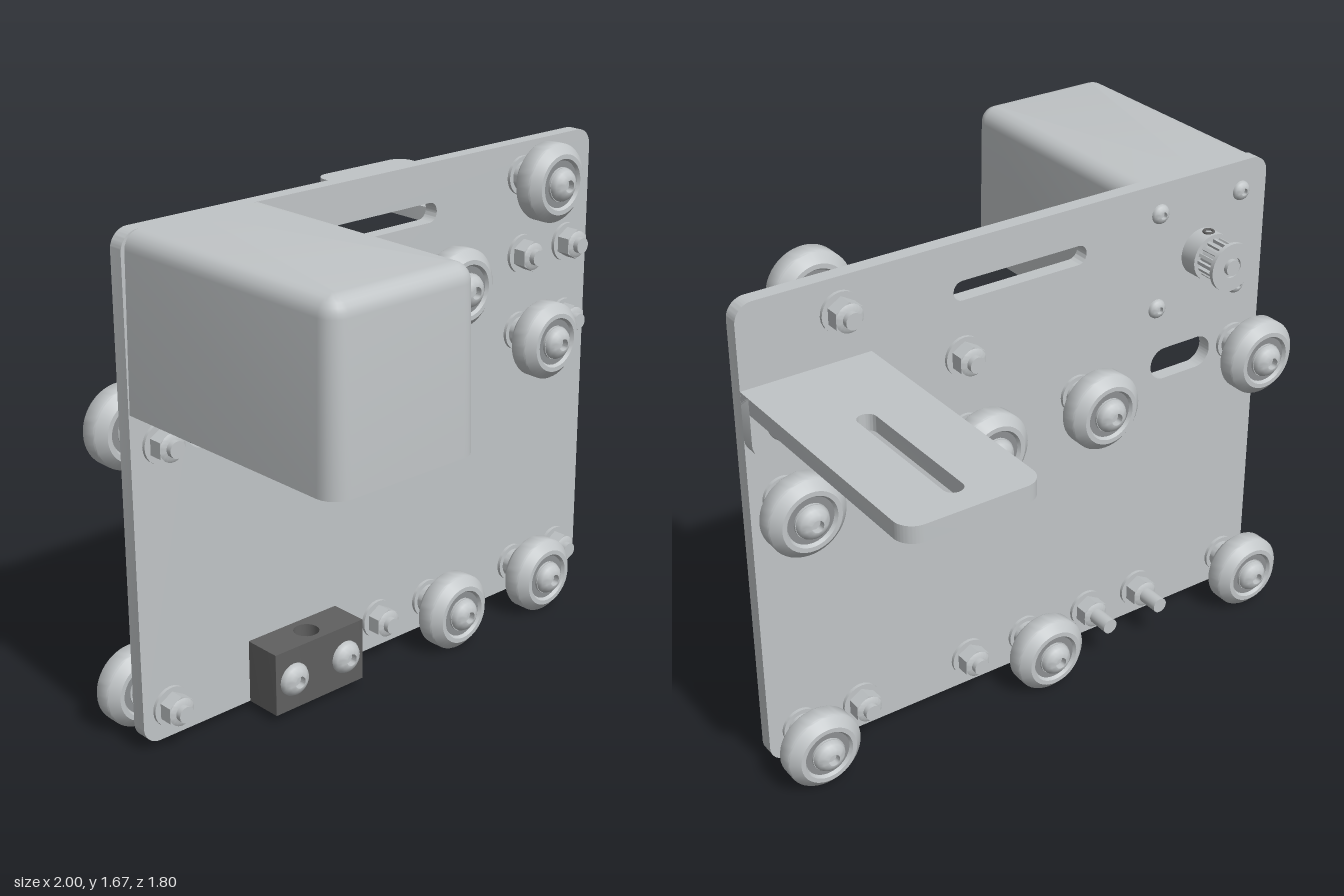
import * as THREE from 'three';
import { toCreasedNormals } from 'three/addons/utils/BufferGeometryUtils.js';

const material = (name, color) => {
  const m = new THREE.MeshStandardMaterial({ color });
  m.name = name;
  return m;
};

export function createModel() {
  const metal = material('light grey metal', 0xc0c4c6);
  const bearingGrey = material('bearing grey', 0x8c8f91);
  const dark = material('dark grey', 0x606060);
  const model = new THREE.Group();
  model.name = 'carriage';

  const add = (parent, name, geometry, mat, x = 0, y = 0, z = 0) => {
    const mesh = new THREE.Mesh(geometry, mat);
    mesh.name = name;
    mesh.position.set(x, y, z);
    parent.add(mesh);
    return mesh;
  };

  // Turned part along z from [radius, z] pairs, listed back to front
  const turned = (points, sides = 36) => toCreasedNormals(
    new THREE.LatheGeometry(points.map(p => new THREE.Vector2(...p)), sides).rotateX(Math.PI / 2), 0.6);

  const rod = (r, z0, z1, sides = 24) =>
    new THREE.CylinderGeometry(r, r, z1 - z0, sides).rotateX(Math.PI / 2).translate(0, 0, (z0 + z1) / 2);

  // Rounded rectangle; one radius for the lower corners, one for the upper
  const roundRect = (x0, y0, x1, y1, rLow, rHigh = rLow, path = new THREE.Shape()) => {
    const H = Math.PI / 2;
    path.moveTo(x0 + rLow, y0);
    path.absarc(x1 - rLow, y0 + rLow, rLow, -H, 0, false);
    path.absarc(x1 - rHigh, y1 - rHigh, rHigh, 0, H, false);
    path.absarc(x0 + rHigh, y1 - rHigh, rHigh, H, 2 * H, false);
    path.absarc(x0 + rLow, y0 + rLow, rLow, 2 * H, 3 * H, false);
    return path;
  };
  const slot = (x0, y0, x1, y1) => {
    const r = Math.min(x1 - x0, y1 - y0) / 2 - 0.0005;
    return roundRect(x0, y0, x1, y1, r, r, new THREE.Path());
  };
  const slab = (shape, depth) => toCreasedNormals(
    new THREE.ExtrudeGeometry(shape, { depth, bevelEnabled: false, curveSegments: 10 }), 0.6);

  // Main plate with two slots
  const plateShape = roundRect(-0.975, 0.027, 0.975, 1.65, 0.06);
  plateShape.holes.push(slot(-0.245, 1.455, 0.25, 1.52), slot(-0.77, 0.943, -0.52, 1.056));
  add(model, 'mainPlate', slab(plateShape, 0.05), metal, 0, 0, -0.025);

  // Shared hardware, all facing +z
  const tireGeo = turned([[0.078, -0.045], [0.085, -0.056], [0.1, -0.056], [0.128, -0.03], [0.131, -0.025],
    [0.131, 0.025], [0.128, 0.03], [0.1, 0.056], [0.085, 0.056], [0.078, 0.045]], 48);
  const bearingGeo = turned([[0, -0.045], [0.08, -0.045], [0.08, 0.045], [0, 0.045]]);
  const spacerGeo = turned([[0, 0.025], [0.065, 0.025], [0.065, 0.036], [0.05, 0.036], [0.05, 0.115], [0, 0.115]]);
  const headGeo = turned([[0, 0], [0.055, 0], [0.055, 0.006], [0.048, 0.018], [0.036, 0.028], [0.022, 0.034],
    [0.02, 0.034], [0.02, 0.012], [0, 0.012]], 24);
  const washerGeo = rod(0.066, 0, 0.011);
  const nutGeo = toCreasedNormals(rod(0.052, 0.011, 0.058, 6), 0.3);
  const collarGeo = turned([[0.046, 0.058], [0.036, 0.064], [0, 0.064]]);

  // Flanged nut with the bolt end showing; dir is +1 in front, -1 at the back
  const addNut = (x, y, dir, boltLength = 0.083) => {
    const g = new THREE.Group();
    g.name = 'lockNut';
    g.position.set(x, y, 0.025 * dir);
    if (dir < 0) g.rotation.y = Math.PI;
    add(g, 'washer', washerGeo, metal);
    add(g, 'nut', nutGeo, metal);
    add(g, 'nutCollar', collarGeo, metal);
    add(g, 'boltEnd', rod(0.027, 0, boltLength, 20), metal);
    model.add(g);
  };
  const addHead = (x, y, z, dir, scale = 1) => {
    const mesh = add(model, 'screwHead', headGeo, metal, x, y, z);
    mesh.scale.setScalar(scale);
    if (dir < 0) mesh.rotation.y = Math.PI;
  };
  const addWheel = (x, y, dir) => {
    const g = new THREE.Group();
    g.name = 'rollerWheel';
    g.position.set(x, y, 0);
    if (dir < 0) g.rotation.y = Math.PI;
    add(g, 'tire', tireGeo, metal, 0, 0, 0.153);
    add(g, 'bearing', bearingGeo, bearingGrey, 0, 0, 0.153);
    add(g, 'spacer', spacerGeo, metal);
    add(g, 'wheelHub', rod(0.057, 0.105, 0.206), metal);
    add(g, 'wheelScrew', headGeo, metal, 0, 0, 0.206);
    model.add(g);
    addNut(x, y, -dir);
  };

  // Wheels on the front, then on the back
  [[0.64, 1.54], [0.22, 1.27], [0.64, 1], [0.22, 0.132], [0.64, 0.132]].forEach(([x, y]) => addWheel(x, y, 1));
  [[-0.867, 1], [-0.217, 1], [0.217, 1], [0.867, 1], [-0.872, 0.132], [-0.01, 0.132], [0.862, 0.132]]
    .forEach(([x, y]) => addWheel(x, y, -1));

  // Angle bracket at the back: slotted shelf and bolted flange
  const shelfShape = roundRect(0.54, 0.025, 0.975, 0.905, 0.001, 0.06);
  shelfShape.holes.push(slot(0.73, 0.335, 0.79, 0.825));
  add(model, 'bracketShelf', slab(shelfShape, 0.053).rotateX(-Math.PI / 2), metal, 0, 1.328, 0);
  add(model, 'bracketFlange', slab(roundRect(0.54, 1.168, 0.975, 1.38, 0.06, 0.001), 0.05), metal, 0, 0, -0.075);
  for (const x of [0.65, 0.867]) {
    addHead(x, 1.27, -0.075, -1);
    addNut(x, 1.27, 1);
  }

  // Dark clamp block with a vertical bore and two long bolts
  const blockShape = roundRect(-0.56, -0.157, -0.195, -0.025, 0.001);
  blockShape.holes.push(new THREE.Path().absarc(-0.377, -0.091, 0.042, 0, Math.PI * 2, true));
  add(model, 'clampBlock', slab(blockShape, 0.213).rotateX(-Math.PI / 2), dark, 0, 0.027, 0);
  for (const x of [-0.487, -0.27]) {
    addHead(x, 0.132, 0.156, 1);
    addNut(x, 0.132, -1, 0.143);
  }

  // Motor with rear plug, shaft, toothed pulley and mounting screws
  const mx = -0.702, my = 1.38;
  add(model, 'motorBody', slab(roundRect(-0.228, -0.228, 0.228, 0.228, 0.04), 0.5), metal, mx, my, 0.025);
  add(model, 'motorPlug', new THREE.BoxGeometry(0.175, 0.07, 0.06), metal, mx, 1.133, 0.493);
  const pulley = new THREE.Group();
  pulley.name = 'drivePulley';
  pulley.position.set(mx, my, 0);
  pulley.rotation.y = Math.PI;
  add(pulley, 'motorShaft', rod(0.027, 0.02, 0.2), metal);
  add(pulley, 'pulleyHub', turned([[0, 0.036], [0.08, 0.036], [0.08, 0.1], [0.055, 0.1], [0.055, 0.18],
    [0.082, 0.18], [0.082, 0.194], [0.035, 0.194], [0.035, 0.185], [0, 0.185]]), metal);
  for (let i = 0; i < 16; i++) {
    const a = i / 16 * Math.PI * 2;
    const tooth = add(pulley, 'pulleyTooth', new THREE.BoxGeometry(0.016, 0.011, 0.08), metal,
      Math.cos(a) * 0.058, Math.sin(a) * 0.058, 0.14);
    tooth.rotation.z = a;
  }
  const setScrew = add(pulley, 'setScrew', new THREE.TorusGeometry(0.016, 0.005, 6, 16), dark, 0, 0.08, 0.07);
  setScrew.rotation.x = Math.PI / 2;
  model.add(pulley);
  for (const sx of [-1, 1]) for (const sy of [-1, 1]) addHead(mx + sx * 0.167, my + sy * 0.167, -0.025, -1, 0.6);

  // Motor cover: U-shaped sections from the inner roof down, round the rim and up the outside
  const x0 = -0.971, x1 = -0.433, zBack = 0.025, zFront = 0.897;
  const section = (y, inset) => {
    if (inset === null) return Array.from({ length: 16 }, () => [(x0 + x1) / 2, y, zBack]);
    const r = Math.max(0.065 - inset, 0.012), l = x0 + inset, rt = x1 - inset, f = zFront - inset;
    const pts = [[l, y, zBack]];
    for (let i = 0; i < 7; i++) {
      const a = i / 6 * Math.PI / 2;
      pts.push([l + r - Math.cos(a) * r, y, f - r + Math.sin(a) * r]);
    }
    const right = pts.map(([x, , z]) => [l + rt - x, y, z]).reverse();
    return [...pts, ...right];
  };
  const rows = [section(1.62, null), section(1.62, 0.06), section(1.6, 0.04), section(1.11, 0.03),
    section(1.11, 0)];
  for (let i = 0; i <= 6; i++) {
    const a = i / 6 * Math.PI / 2;
    rows.push(section(1.595 + 0.055 * Math.sin(a), 0.009 + 0.055 * (1 - Math.cos(a))));
  }
  rows.push(section(1.65, null));
  const index = [], n = 16;
  for (let r = 0; r < rows.length - 1; r++) for (let j = 0; j < n - 1; j++) {
    const a = r * n + j, c = a + n;
    if (r > 0) index.push(a, a + 1, c);
    if (r < rows.length - 2) index.push(a + 1, c + 1, c);
  }
  const cover = new THREE.BufferGeometry();
  cover.setAttribute('position', new THREE.Float32BufferAttribute(rows.flat(2), 3));
  cover.setIndex(index);
  add(model, 'motorCover', toCreasedNormals(cover, 0.6), metal);

  return model;
}
